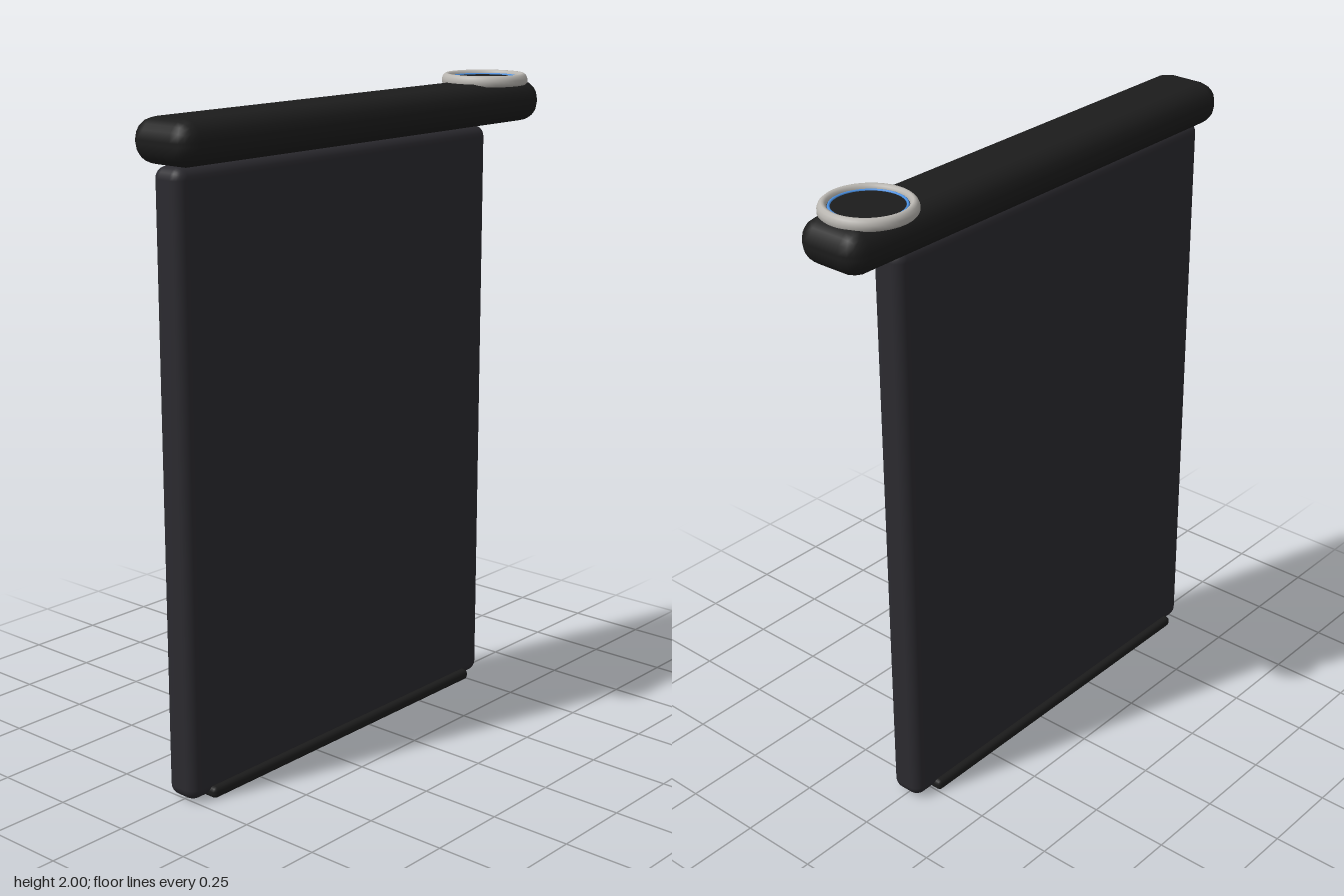
import * as THREE from 'three';
import { RoundedBoxGeometry } from 'three/addons/geometries/RoundedBoxGeometry.js';

const mat = (color) => new THREE.MeshStandardMaterial({ color });

export function createModel() {
  const group = new THREE.Group();
  const black = mat(0x1c1c1c), charcoal = mat(0x2b2a2f), silver = mat(0xb8b5b0), blue = mat(0x4a90e2);

  const add = (name, geometry, material, x, y, z = 0) => {
    const mesh = new THREE.Mesh(geometry, material);
    mesh.name = name;
    mesh.position.set(x, y, z);
    group.add(mesh);
    return mesh;
  };

  // Upright slab, thin with rounded edges
  add('panel', new RoundedBoxGeometry(1.35, 1.84, 0.11, 3, 0.035), charcoal, -0.095, 0.925);

  // Thick rounded bar across the top, overhanging on the left
  add('topBar', new RoundedBoxGeometry(1.6, 0.13, 0.226, 2, 0.06), black, 0, 1.91);

  // Strip along the bottom edge
  add('bottomStrip', new RoundedBoxGeometry(1.2, 0.035, 0.15, 2, 0.014), black, -0.1, 0.0175);

  // Dial: bevelled metal rim around a recessed face
  const rim = [
    [0.107, 1.966], [0.13, 1.966], [0.135, 1.972], [0.135, 1.984], [0.131, 1.994],
    [0.124, 2.0], [0.118, 2.0], [0.112, 1.996], [0.109, 1.988], [0.107, 1.966],
  ].map(([r, y]) => new THREE.Vector2(r, y));
  add('dialRim', new THREE.LatheGeometry(rim, 48), silver, 0.63, 0);
  add('dialFace', new THREE.CylinderGeometry(0.109, 0.109, 0.02, 48), black, 0.63, 1.977);

  // Thin coloured ring set into the dial face
  const accent = add('dialAccent', new THREE.TorusGeometry(0.104, 0.004, 8, 48), blue, 0.63, 1.987);
  accent.rotation.x = Math.PI / 2;

  return group;
}
